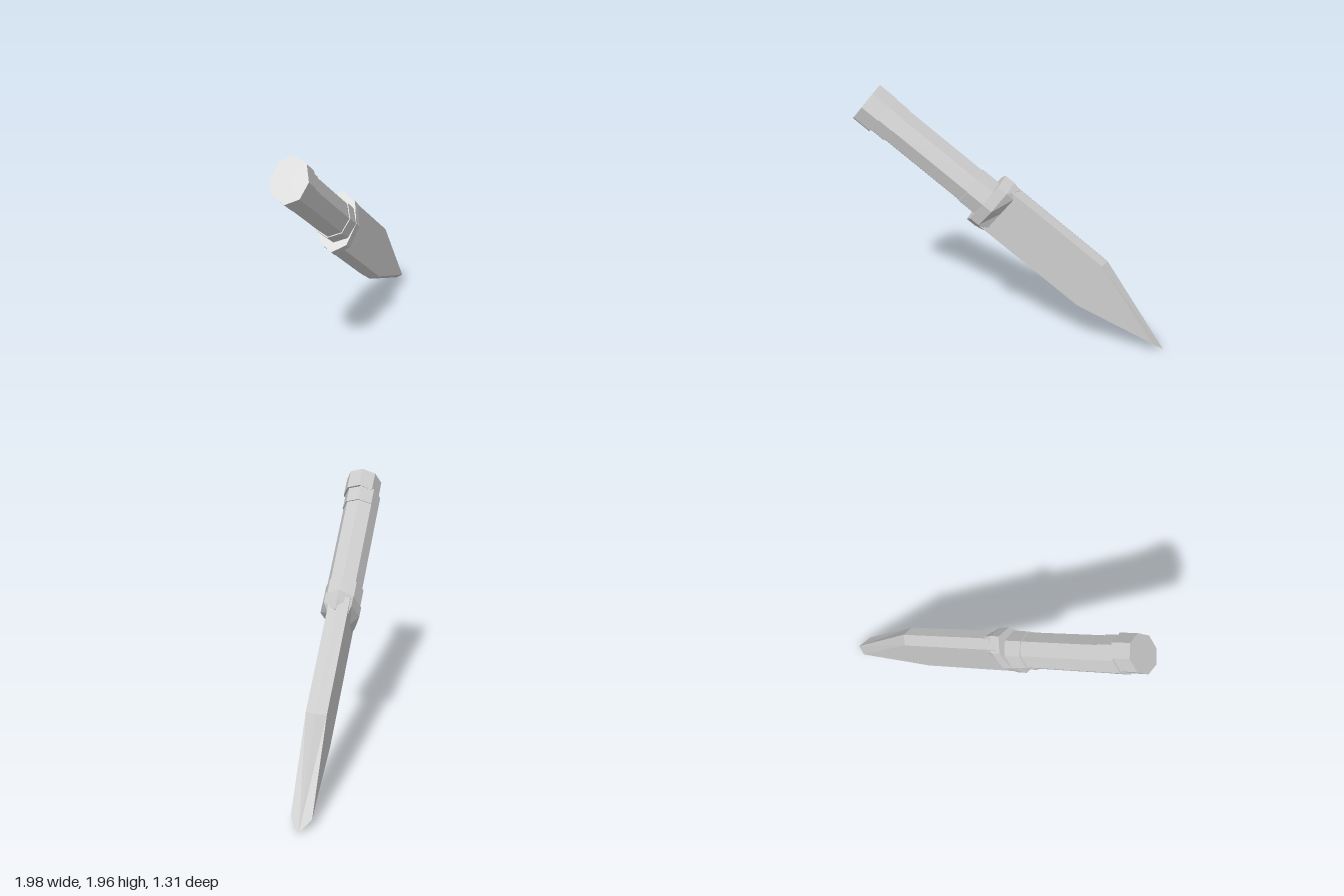
import * as THREE from 'three';

const material = new THREE.MeshStandardMaterial({ color: 0xcccccc, flatShading: true });

// Closed eight-sided section along x; profile is [position, radius],
// depth squeezes it in z and shift moves it in z
function octagonal(name, profile, depth, shift) {
  const first = profile[0][0];
  const last = profile[profile.length - 1][0];
  const points = [[first, 0], ...profile, [last, 0]].map(([x, r]) => new THREE.Vector2(r, x));
  const geometry = new THREE.LatheGeometry(points, 8);
  geometry.rotateZ(-Math.PI / 2);
  geometry.scale(1, 1, depth);
  geometry.translate(0, 0, shift);
  const mesh = new THREE.Mesh(geometry, material);
  mesh.name = name;
  return mesh;
}

const bladeHalf = 0.075;

// Blade: two flat sides joined by bevels that meet in a ridge all around
function makeBlade() {
  const side = [[-0.8, 0.183], [0.125, 0.183], [0.814, -0.04], [0.197, -0.183], [-0.8, -0.183]];
  const ridge = [[-0.8, 0.212], [0.149, 0.212], [0.921, -0.052], [0.21, -0.21], [-0.8, -0.21]];
  const positions = [];
  for (const s of [1, -1]) {
    const face = (i) => [...side[i], s * bladeHalf];
    const edge = (i) => [...ridge[i], 0];
    const tri = (a, b, c) => positions.push(...a, ...(s > 0 ? b : c), ...(s > 0 ? c : b));
    for (let i = 1; i < 4; i++) tri(face(0), face(i + 1), face(i));
    for (let i = 0; i < 4; i++) {
      tri(face(i), face(i + 1), edge(i + 1));
      tri(face(i), edge(i + 1), edge(i));
    }
  }
  const geometry = new THREE.BufferGeometry();
  geometry.setAttribute('position', new THREE.Float32BufferAttribute(positions, 3));
  geometry.computeVertexNormals();
  const mesh = new THREE.Mesh(geometry, material);
  mesh.name = 'blade';
  return mesh;
}

// Guard: octagonal block whose front narrows to the flat sides of the blade
function makeGuard() {
  const front = -0.685;
  const guard = octagonal('guard', [[-0.835, 0.23], [-0.755, 0.23], [front, 0.213]], 0.63, 0.012);
  const position = guard.geometry.attributes.position;
  for (let i = 0; i < position.count; i++) {
    if (position.getX(i) > front - 0.01) {
      position.setZ(i, THREE.MathUtils.clamp(position.getZ(i), -bladeHalf, bladeHalf));
    }
  }
  guard.geometry.computeVertexNormals();
  return guard;
}

export function createModel() {
  // Knife lies along x, then is rolled slightly, tilted point-down and turned
  const knife = new THREE.Group();
  knife.name = 'knife';
  knife.add(
    octagonal('pommel', [[-1.94, 0.166], [-1.79, 0.166]], 0.81, 0.034),
    octagonal('pommelCollar', [[-1.8, 0.155], [-1.67, 0.155]], 0.87, 0.02),
    octagonal('grip', [[-1.68, 0.148], [-0.97, 0.148]], 0.89, 0.017),
    octagonal('guardCollar', [[-0.98, 0.156], [-0.82, 0.156]], 0.9, 0.015),
    makeGuard(),
    makeBlade()
  );
  const { degToRad } = THREE.MathUtils;
  knife.rotation.set(degToRad(-2.5), degToRad(31), degToRad(-38.7), 'YZX');
  knife.position.set(0.41, 0.616, -0.277);

  const model = new THREE.Group();
  model.name = 'model';
  model.add(knife);
  return model;
}
